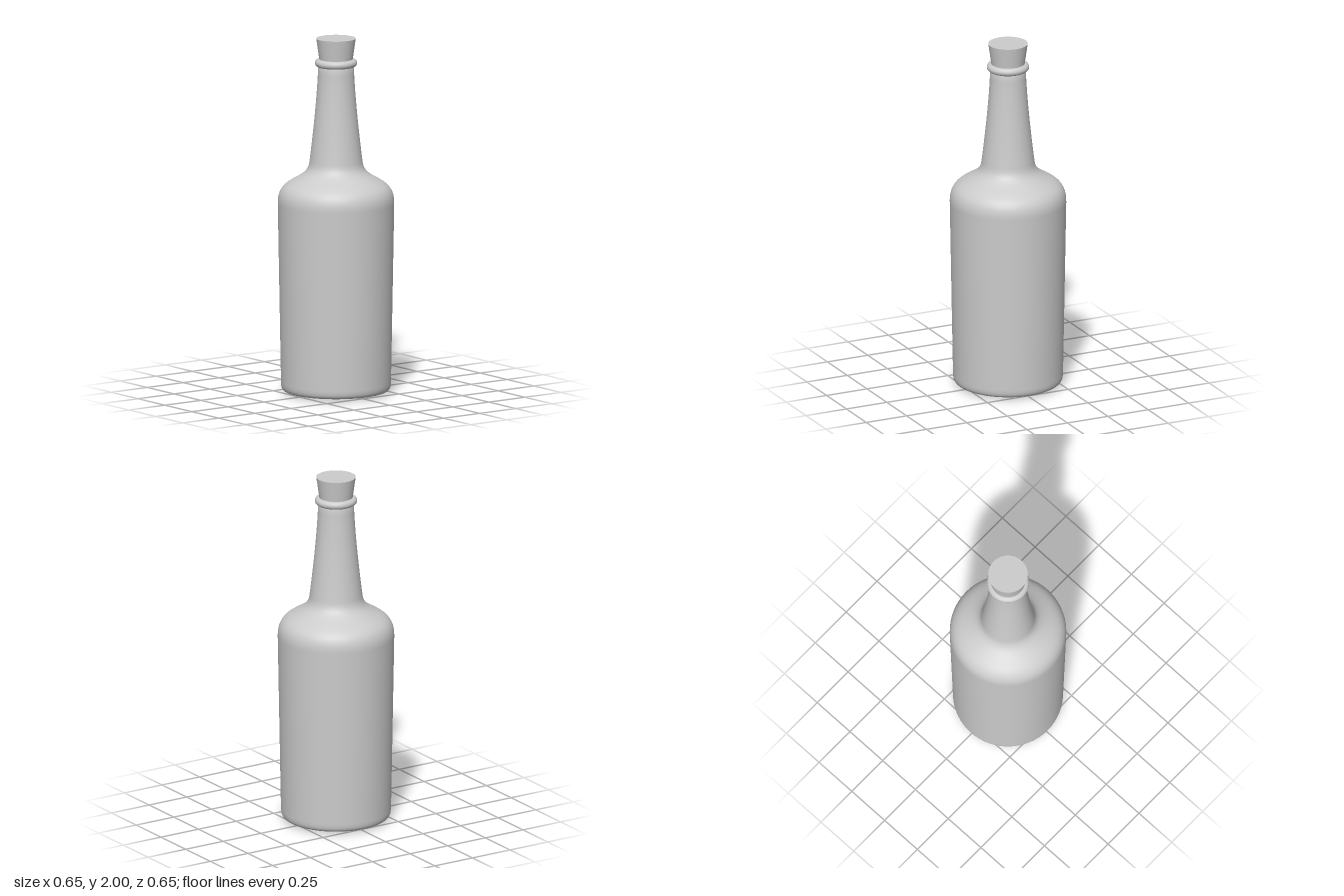
import * as THREE from 'three';

const SEGMENTS = 64;

export function createModel() {
  const group = new THREE.Group();
  const material = new THREE.MeshStandardMaterial({ color: 0xcccccc });

  const add = (name, geometry, y = 0) => {
    const mesh = new THREE.Mesh(geometry, material);
    mesh.name = name;
    mesh.position.y = y;
    group.add(mesh);
  };

  // Bottle: base, tapered body, rounded shoulder and long neck as one profile
  const profile = new THREE.Path();
  profile.moveTo(0, 0);
  profile.lineTo(0.2, 0.003);
  profile.lineTo(0.275, 0.011);
  profile.bezierCurveTo(0.297, 0.014, 0.305, 0.025, 0.306, 0.06);
  profile.lineTo(0.324, 1.07);
  profile.bezierCurveTo(0.325, 1.17, 0.265, 1.185, 0.21, 1.22);
  profile.bezierCurveTo(0.17, 1.245, 0.152, 1.265, 0.147, 1.31);
  profile.bezierCurveTo(0.128, 1.46, 0.108, 1.65, 0.101, 1.8);
  profile.lineTo(0.1, 1.862);
  profile.lineTo(0.08, 1.875);
  add('bottle', new THREE.LatheGeometry(profile.getPoints(14), SEGMENTS));

  // Rounded lip around the mouth
  const lip = new THREE.TorusGeometry(0.096, 0.022, 16, SEGMENTS);
  lip.rotateX(Math.PI / 2);
  add('lipRing', lip, 1.862);

  // Tapered stopper, its lower end sitting inside the mouth
  add('stopper', new THREE.CylinderGeometry(0.11, 0.09, 0.14, SEGMENTS), 1.93);

  return group;
}
